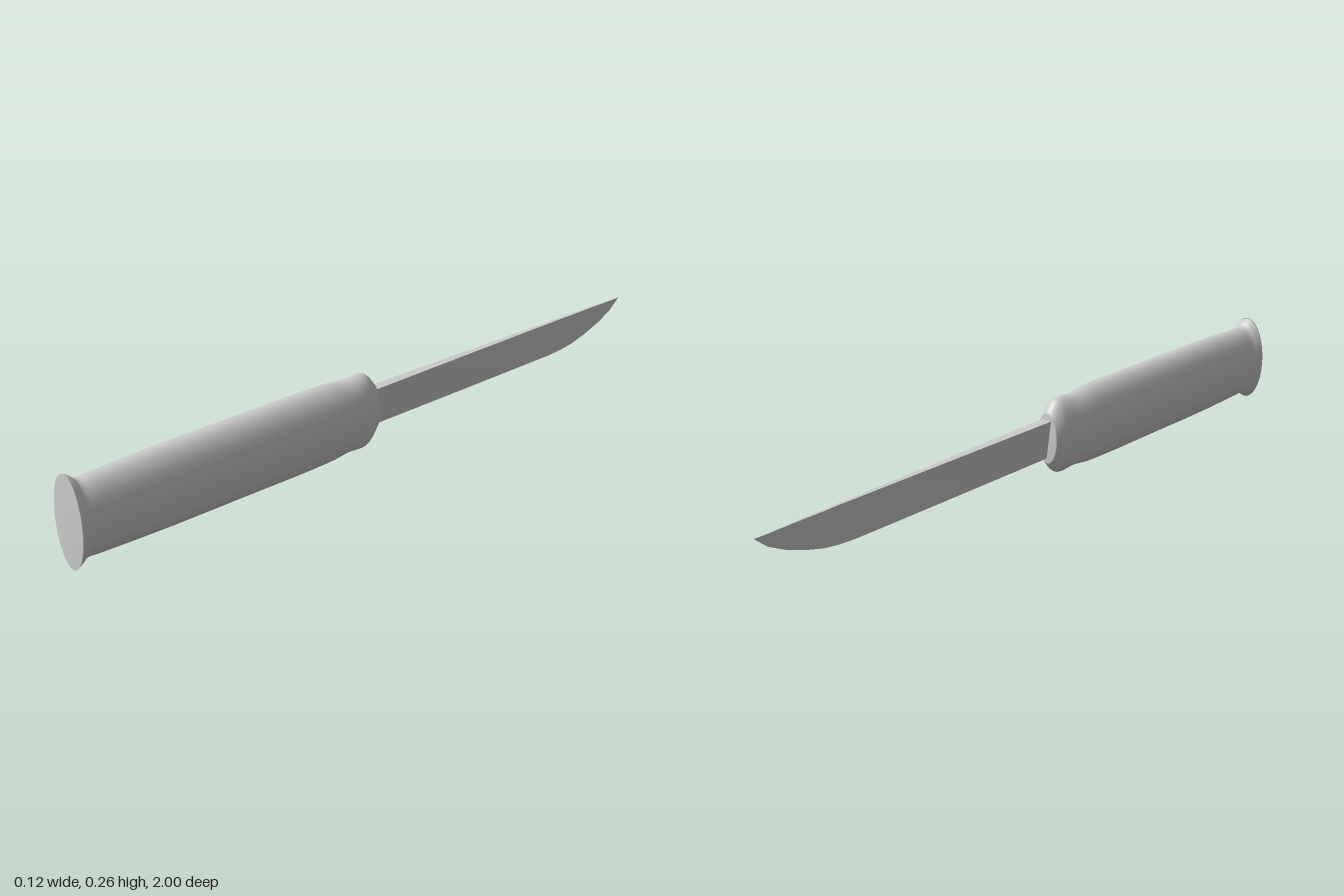
import * as THREE from 'three';
import { toCreasedNormals } from 'three/addons/utils/BufferGeometryUtils.js';

// Skins a list of rings (equal point counts, counter-clockwise seen from +z, running towards -z)
function loft(rings) {
  const n = rings[0].length, index = [];
  for (let i = 0; i < rings.length - 1; i++) {
    for (let j = 0; j < n; j++) {
      const k = (j + 1) % n;
      const a = i * n + j, b = i * n + k, c = a + n, d = b + n;
      index.push(a, c, b, b, c, d);
    }
  }
  const geo = new THREE.BufferGeometry();
  geo.setAttribute('position', new THREE.Float32BufferAttribute(rings.flat(2), 3));
  geo.setIndex(index);
  geo.computeVertexNormals();
  return geo;
}

const ellipse = (w, h, z, n = 48) => Array.from({ length: n }, (_, j) => {
  const a = (j / n) * Math.PI * 2;
  return [w * Math.cos(a), 0.132 + h * Math.sin(a), z];
});

export function createModel() {
  const group = new THREE.Group();
  const material = new THREE.MeshStandardMaterial({ color: 0xcccccc });

  // Handle: half width, half height, z from the flared butt to the blade end
  const profile = new THREE.CatmullRomCurve3([
    [0.062, 0.131, 1], [0.058, 0.121, 0.985], [0.054, 0.109, 0.97], [0.054, 0.11, 0.93],
    [0.056, 0.115, 0.75], [0.057, 0.116, 0.5], [0.056, 0.115, 0.2], [0.053, 0.108, 0.13],
    [0.046, 0.111, 0.07], [0.041, 0.098, 0.05], [0.034, 0.072, 0.03],
  ].map((p) => new THREE.Vector3(...p)));
  const sections = profile.getPoints(50).map((p) => ellipse(p.x, p.y, p.z));
  const handleGeo = loft([ellipse(0, 0, 1), ...sections, ellipse(0, 0, 0.03)]);
  const handle = new THREE.Mesh(handleGeo, material);
  handle.name = 'handle';
  group.add(handle);

  // Blade: z, spine half thickness, spine height, edge height
  const wedge = ([z, t, top, bottom]) => [[t, top, z], [-t, top, z], [0, bottom, z]];
  const stations = [
    [0.05, 0.016, 0.187, 0.073], [-0.3, 0.011, 0.186, 0.073], [-0.69, 0.005, 0.184, 0.074],
    [-0.74, 0.0045, 0.184, 0.077], [-0.79, 0.004, 0.183, 0.084], [-0.85, 0.003, 0.183, 0.1],
    [-0.91, 0.002, 0.182, 0.122], [-0.96, 0.001, 0.181, 0.147], [-1, 0, 0.181, 0.181],
  ];
  const blade = new THREE.Mesh(toCreasedNormals(loft(stations.map(wedge)), 0.6), material);
  blade.name = 'blade';
  group.add(blade);

  return group;
}
